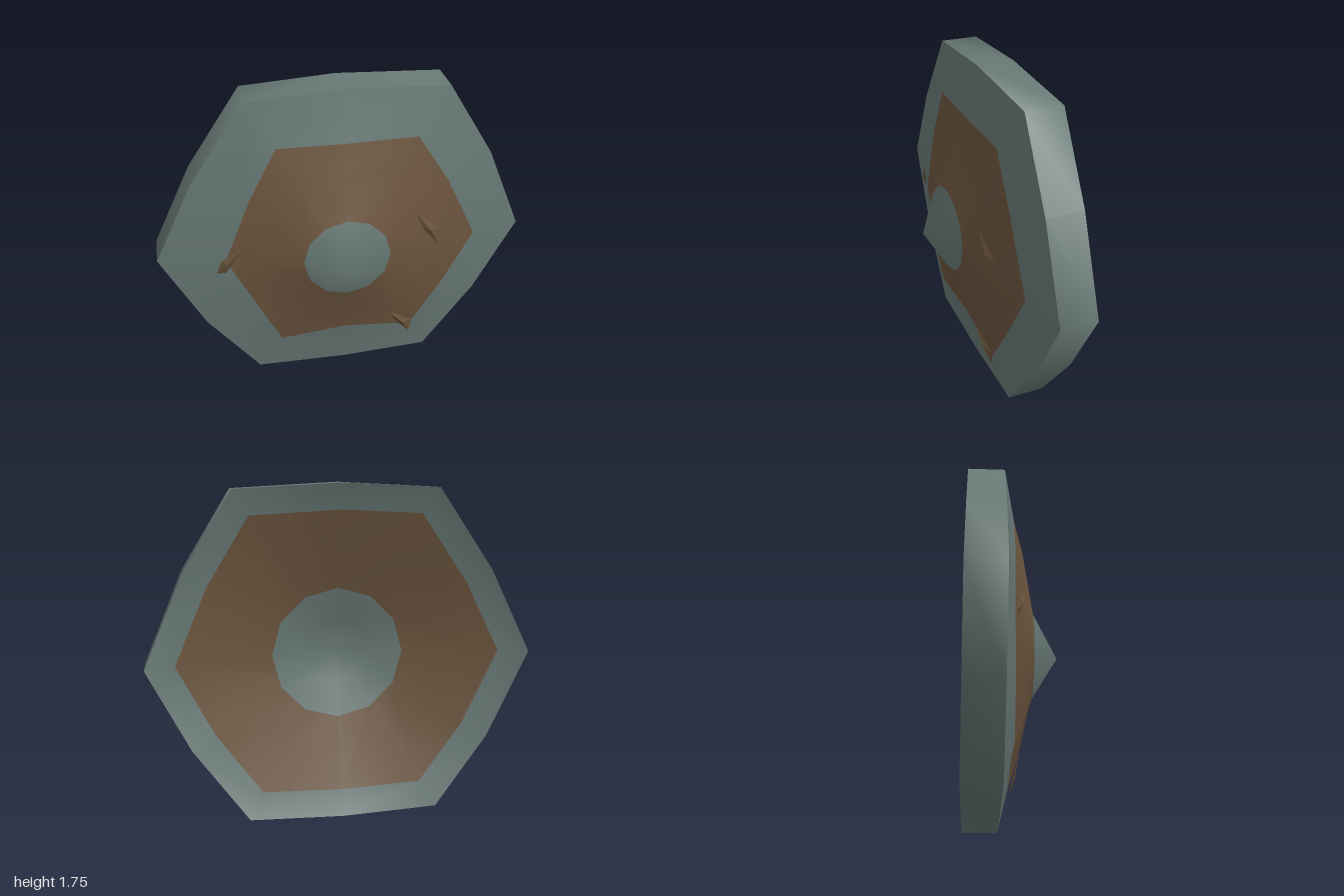
import * as THREE from 'three';

const SIDES = 12;
const CENTRE = [0, 0.85];

// Outlines, counter-clockwise from the model's left corner
const RIM = [[1, 0.84], [0.8, 1.31], [0.55, 1.715], [0, 1.745], [-0.49, 1.72], [-0.78, 1.3],
  [-1, 0.86], [-0.78, 0.4], [-0.505, 0.02], [0, 0], [0.495, 0.015], [0.78, 0.41]];
const PANEL = [[0.73, 0.835], [0.555, 1.2], [0.38, 1.475], [0, 1.475], [-0.35, 1.485], [-0.5, 1.2],
  [-0.645, 0.84], [-0.51, 0.55], [-0.37, 0.255], [0, 0.285], [0.385, 0.24], [0.56, 0.52]];

const ring = (outline, scale, z) => outline.map(([x, y]) =>
  [CENTRE[0] + (x - CENTRE[0]) * scale, CENTRE[1] + (y - CENTRE[1]) * scale, z]);
const circle = (r, z, cx = -0.01) => Array.from({ length: SIDES }, (_, i) => {
  const a = (i / SIDES) * Math.PI * 2;
  return [cx + Math.cos(a) * r, CENTRE[1] + Math.sin(a) * r, z];
});

// Smooth skin through rings; a one-point ring is a tip. slots gives the material of each band.
function loft(rings, slots) {
  const geo = new THREE.BufferGeometry();
  const starts = [];
  const points = [];
  rings.forEach((r) => { starts.push(points.length); points.push(...r); });
  const at = (k, i) => starts[k] + (i % rings[k].length);
  const index = [];
  for (let k = 0; k < rings.length - 1; k++) {
    const from = index.length;
    for (let i = 0; i < SIDES; i++) {
      const a = at(k, i), b = at(k, i + 1), c = at(k + 1, i + 1), d = at(k + 1, i);
      if (a !== b) index.push(a, b, c);
      if (c !== d) index.push(a, c, d);
    }
    geo.addGroup(from, index.length - from, slots[k]);
  }
  geo.setAttribute('position', new THREE.Float32BufferAttribute(points.flat(), 3));
  geo.setIndex(index);
  geo.computeVertexNormals();
  return geo;
}

// Faceted splinter: four corners fanned around a raised middle
function splinter(corners) {
  const mid = [0, 1, 2].map((j) => corners.reduce((s, p) => s + p[j], 0) / 4);
  mid[2] += 0.015;
  const pos = corners.flatMap((p, i) => [...p, ...corners[(i + 1) % 4], ...mid]);
  const geo = new THREE.BufferGeometry();
  geo.setAttribute('position', new THREE.Float32BufferAttribute(pos, 3));
  geo.computeVertexNormals();
  return geo;
}

export function createModel() {
  const group = new THREE.Group();
  const metal = new THREE.MeshStandardMaterial({ color: 0x687975 });
  metal.name = 'grey metal';
  const wood = new THREE.MeshStandardMaterial({ color: 0x6c553e });
  wood.name = 'brown wood';
  const add = (name, geo, mat) => {
    const mesh = new THREE.Mesh(geo, mat);
    mesh.name = name;
    group.add(mesh);
  };

  // Front face: metal rim, wooden panel, pointed boss
  const panelEdge = ring(PANEL, 1, 0);
  panelEdge[0][2] = panelEdge[6][2] = -0.01;
  add('frontFace', loft([
    ring(RIM, 1, -0.055), panelEdge, ring(PANEL, 0.78, 0.047),
    circle(0.235, 0.11), [[-0.01, 0.845, 0.245]],
  ], [0, 1, 1, 0]), [metal, wood]);

  // Outer edge
  add('outerEdge', loft([ring(RIM, 1, -0.25), ring(RIM, 1, -0.055)], [0]), [metal]);

  // Hollow back: boss cup, panel, rim
  add('backFace', loft([
    [[0, 0.85, 0.02]], circle(0.18, -0.01, 0), circle(0.35, -0.07, 0),
    ring(RIM, 0.85, -0.19), ring(RIM, 1, -0.25),
  ], [0, 0, 1, 0]), [metal, wood]);

  // Battle gouges
  add('leftUpperGouge', splinter([[0.37, 1.06, 0.085], [0.4, 0.97, 0.075],
    [0.515, 0.82, 0.055], [0.515, 0.94, 0.058]]), wood);
  add('leftLowerGouge', splinter([[0.24, 0.395, 0.055], [0.31, 0.27, 0.022],
    [0.385, 0.18, 0], [0.395, 0.27, 0.01]]), wood);
  add('rightGouge', splinter([[-0.535, 0.965, 0.05], [-0.67, 0.855, 0.01],
    [-0.7, 0.77, -0.005], [-0.65, 0.775, 0.005]]), wood);

  return group;
}
